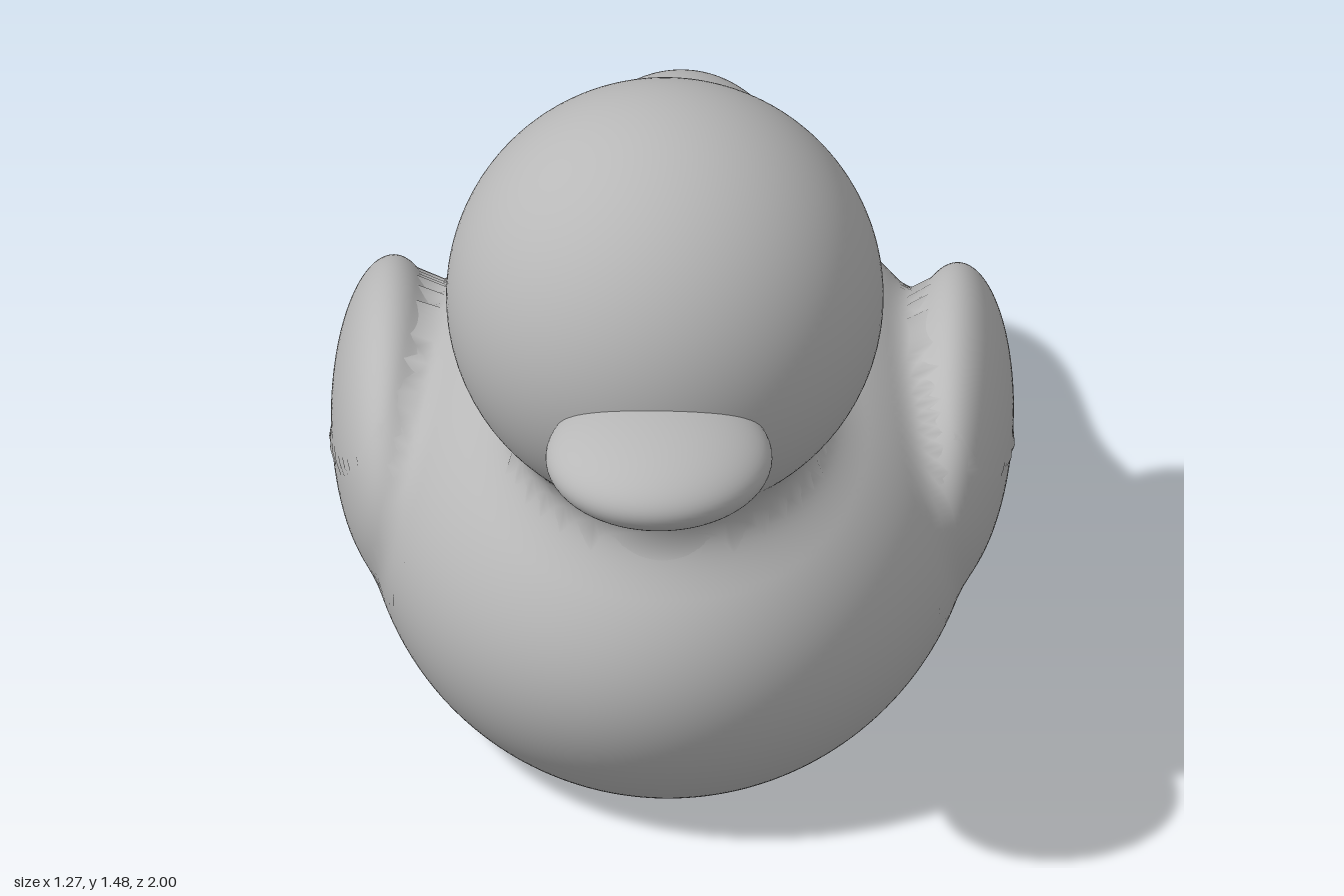
import * as THREE from 'three';

// Ellipsoids (centre, radii) that make up the toy duck
const ell = (cx, cy, cz, rx, ry, rz) => ({
  c: new THREE.Vector3(cx, cy, cz),
  r: new THREE.Vector3(rx, ry, rz),
});
const BODY = ell(0, 0.36, -0.09, 0.568, 0.48, 0.75);
const TAIL = ell(0, 0.615, -0.7, 0.215, 0.2, 0.3);
const HEAD = ell(0, 1.078, 0.365, 0.405, 0.405, 0.405);
const BILL = ell(0, 0.995, 0.79, 0.21, 0.09, 0.21);
const WING_L = ell(0.522, 0.475, -0.178, 0.11, 0.243, 0.365);
const WING_R = ell(-0.522, 0.475, -0.178, 0.11, 0.243, 0.365);

// Approximate signed distance to an ellipsoid
function dist(e, x, y, z) {
  const a = (x - e.c.x) / e.r.x, b = (y - e.c.y) / e.r.y, c = (z - e.c.z) / e.r.z;
  const k0 = Math.hypot(a, b, c);
  const k1 = Math.hypot(a / e.r.x, b / e.r.y, c / e.r.z);
  return k1 < 1e-6 ? -1 : (k0 * (k0 - 1)) / k1;
}

// Smooth union with fillet size k
function blend(a, b, k) {
  const h = Math.max(k - Math.abs(a - b), 0) / k;
  return Math.min(a, b) - (h * h * k) / 4;
}

// The whole soft body as one blended field
function field(x, y, z) {
  let d = blend(dist(BODY, x, y, z), dist(TAIL, x, y, z), 0.2);
  d = blend(d, dist(HEAD, x, y, z), 0.17);
  return blend(d, dist(x > 0 ? WING_L : WING_R, x, y, z), 0.06);
}
const solid = (x, y, z) => Math.max(field(x, y, z), -y); // flat underside

// Push the points of an ellipsoid out to the blended surface, so that
// neighbouring parts flow into each other; points inside a neighbour stop at cap
function blendedGeometry(e, cap, nu, nv) {
  const geo = new THREE.SphereGeometry(1, nu, nv);
  const pos = geo.attributes.position, nor = geo.attributes.normal;
  const d = new THREE.Vector3(), p = new THREE.Vector3(), n = new THREE.Vector3();
  const at = (t) => p.copy(d).multiplyScalar(t).add(e.c);
  const value = (t) => { at(t); return solid(p.x, p.y, p.z); };
  const s = 0.002;
  for (let i = 0; i < pos.count; i++) {
    d.fromBufferAttribute(pos, i).multiply(e.r);
    let lo = 0.3, hi = lo;
    while (hi < cap && value(hi) < 0) { lo = hi; hi += 0.02; }
    if (hi >= cap) lo = hi = cap;
    for (let j = 0; j < 16 && hi > lo; j++) {
      const mid = (lo + hi) / 2;
      if (value(mid) < 0) lo = mid; else hi = mid;
    }
    at(hi);
    if (p.y < 0.0005) {
      p.y = 0;
      n.set(0, -1, 0);
    } else {
      n.set(
        field(p.x + s, p.y, p.z) - field(p.x - s, p.y, p.z),
        field(p.x, p.y + s, p.z) - field(p.x, p.y - s, p.z),
        field(p.x, p.y, p.z + s) - field(p.x, p.y, p.z - s),
      ).normalize();
    }
    pos.setXYZ(i, p.x, p.y, p.z);
    nor.setXYZ(i, n.x, n.y, n.z);
  }
  return geo;
}

export function createModel() {
  const group = new THREE.Group();
  group.name = 'toyDuck';
  const grey = new THREE.MeshStandardMaterial({ color: 0xb8b8b8 });
  grey.name = 'grey';

  const add = (name, geo) => {
    const mesh = new THREE.Mesh(geo, grey);
    mesh.name = name;
    group.add(mesh);
    return mesh;
  };

  // Soft parts joined by fillets
  add('body', blendedGeometry(BODY, 1.13, 180, 120));
  add('head', blendedGeometry(HEAD, 1.25, 120, 80));
  add('tail', blendedGeometry(TAIL, 1.4, 96, 64));
  add('leftWing', blendedGeometry(WING_L, 1.35, 96, 72));
  add('rightWing', blendedGeometry(WING_R, 1.35, 96, 72));

  // Bill, set into the face with a crisp edge
  const bill = add('bill', new THREE.SphereGeometry(1, 64, 40));
  bill.position.copy(BILL.c);
  bill.scale.copy(BILL.r);

  return group;
}
